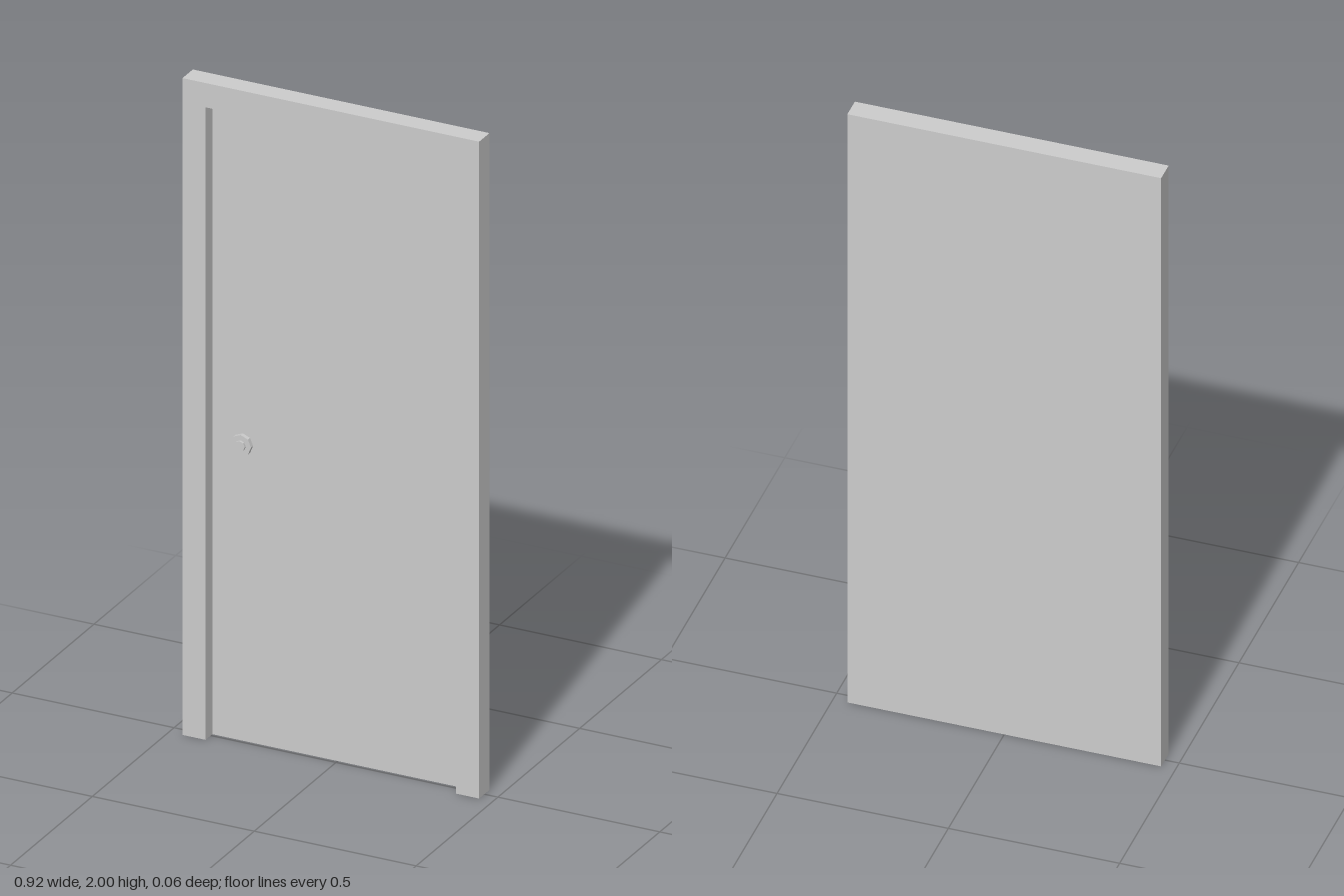
import * as THREE from 'three';

export function createModel() {
  const door = new THREE.Group();
  door.name = 'door';
  const material = new THREE.MeshStandardMaterial({ color: 0xcccccc, flatShading: true });
  const add = (name, geometry, x = 0, y = 0, z = 0) => {
    const mesh = new THREE.Mesh(geometry, material);
    mesh.name = name;
    mesh.position.set(x, y, z);
    door.add(mesh);
    return mesh;
  };

  const halfWidth = 0.458, height = 2, depth = 0.063;
  const openHalf = 0.387, openTop = 1.926;
  const back = -depth / 2, panelFront = -0.01;

  // Frame: two jambs and a lintel, open at the floor
  const outline = new THREE.Shape([
    [-halfWidth, 0], [-openHalf, 0], [-openHalf, openTop], [openHalf, openTop],
    [openHalf, 0], [halfWidth, 0], [halfWidth, height], [-halfWidth, height],
  ].map(([x, y]) => new THREE.Vector2(x, y)));
  add('frame', new THREE.ExtrudeGeometry(outline, { depth, bevelEnabled: false }), 0, 0, back);

  // Door leaf: recessed at the front, flush with the frame at the back
  const thickness = panelFront - back;
  add('leaf', new THREE.BoxGeometry(openHalf * 2, openTop, thickness), 0, openTop / 2, back + thickness / 2);

  // Knob: faceted rose with a smaller raised centre, turned about z
  const profile = [[0, 0], [0.032, 0], [0.032, 0.013], [0.016, 0.013], [0.016, 0.02], [0, 0.02]]
    .map(([r, h]) => new THREE.Vector2(r, h));
  const knob = add('knob', new THREE.LatheGeometry(profile, 8), -0.293, 0.904, panelFront);
  knob.rotation.x = Math.PI / 2;

  return door;
}
